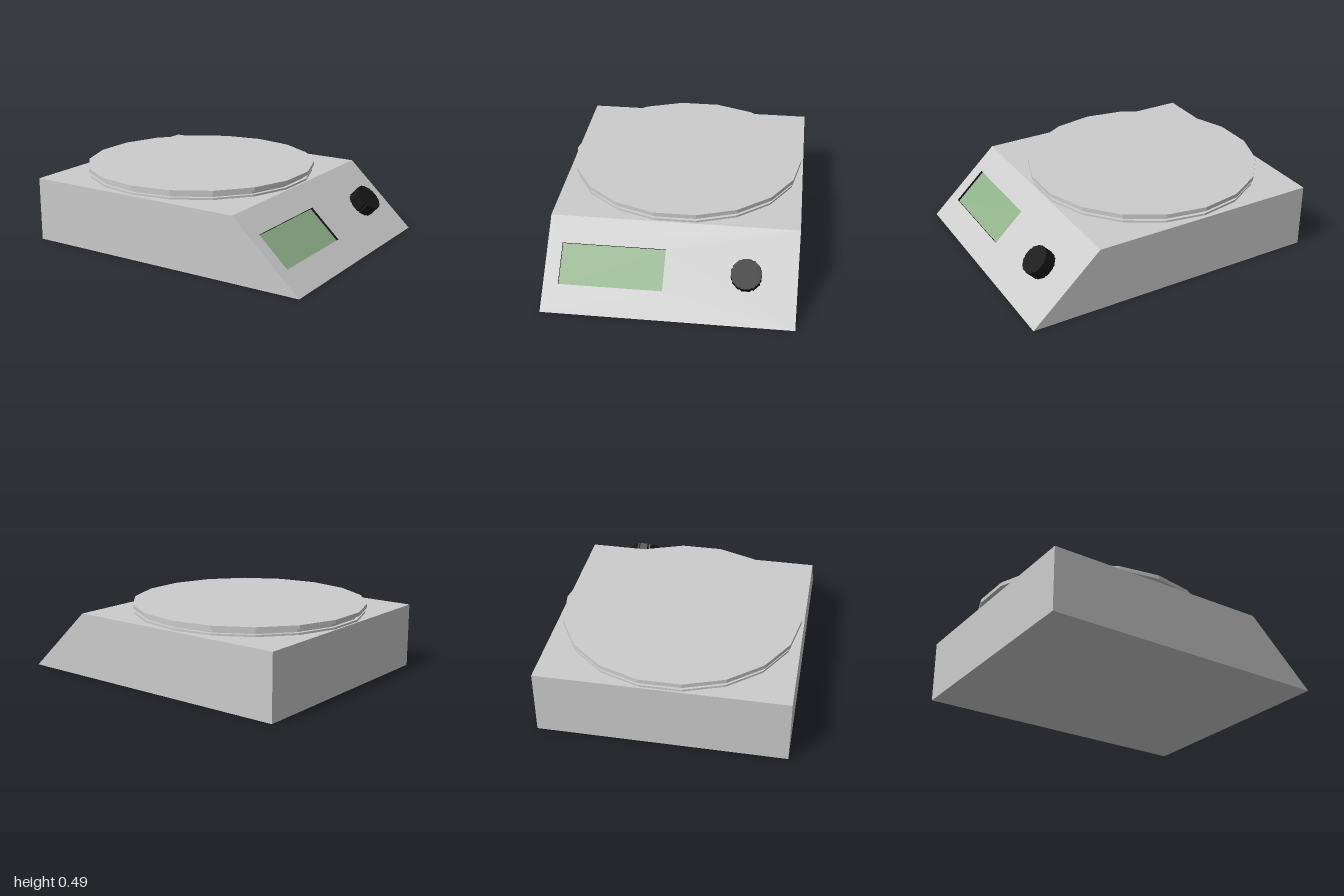
import * as THREE from 'three';

const TOP = 0.428, EDGE = 0.54, HALF = 0.795; // body height, slope start, half depth
const SLOPE = Math.hypot(1 - EDGE, TOP);

const mat = (color) => new THREE.MeshStandardMaterial({ color, flatShading: true });
const grey = mat(0xcccccc), black = mat(0x161616), green = mat(0x8eb088);

function add(parent, name, geometry, material, pos = [0, 0, 0], rot = [0, 0, 0]) {
  const mesh = new THREE.Mesh(geometry, material);
  mesh.name = name;
  mesh.position.set(...pos);
  mesh.rotation.set(...rot);
  parent.add(mesh);
  return mesh;
}

function polygon(points, Type = THREE.Shape) {
  return new Type(points.map(([x, y]) => new THREE.Vector2(x, y)));
}

function rectangle(x0, y0, x1, y1, Type) {
  return polygon([[x0, y0], [x1, y0], [x1, y1], [x0, y1]], Type);
}

// Wedge-shaped housing, without its sloped face
function createBody() {
  const body = new THREE.Group();
  body.name = 'body';
  const side = new THREE.ShapeGeometry(polygon([[-1, 0], [1, 0], [EDGE, TOP], [-1, TOP]]));
  const mirrored = new THREE.ShapeGeometry(polygon([[1, 0], [-1, 0], [-EDGE, TOP], [1, TOP]]));
  const q = Math.PI / 2;
  add(body, 'frontSide', side, grey, [0, 0, HALF]);
  add(body, 'backSide', mirrored, grey, [0, 0, -HALF], [0, Math.PI, 0]);
  add(body, 'topSide', new THREE.PlaneGeometry(1 + EDGE, 2 * HALF), grey, [(EDGE - 1) / 2, TOP, 0], [-q, 0, 0]);
  add(body, 'underside', new THREE.PlaneGeometry(2, 2 * HALF), grey, [0, 0, 0], [q, 0, 0]);
  add(body, 'endWall', new THREE.PlaneGeometry(2 * HALF, TOP), grey, [-1, TOP / 2, 0], [0, -q, 0]);
  return body;
}

// Sloped panel: local x runs across, y up the slope, z outward
function createControlPanel() {
  const panel = new THREE.Group();
  panel.name = 'controlPanel';
  const up = new THREE.Vector3(EDGE - 1, TOP, 0).normalize();
  const across = new THREE.Vector3(0, 0, -1);
  const out = across.clone().cross(up);
  panel.quaternion.setFromRotationMatrix(new THREE.Matrix4().makeBasis(across, up, out));
  panel.position.set((1 + EDGE) / 2, TOP / 2, 0);

  // Face with the display opening
  const x0 = -0.7, x1 = -0.04, y0 = -0.13, y1 = 0.136, depth = 0.015;
  const face = rectangle(-HALF, -SLOPE / 2, HALF, SLOPE / 2);
  face.holes.push(rectangle(x0, y0, x1, y1, THREE.Path));
  add(panel, 'panelFace', new THREE.ShapeGeometry(face), grey);

  // Recessed screen with four dark walls facing inward
  const cx = (x0 + x1) / 2, cy = (y0 + y1) / 2, w = x1 - x0, h = y1 - y0, q = Math.PI / 2;
  add(panel, 'screen', new THREE.PlaneGeometry(w, h), green, [cx, cy, -depth]);
  for (const s of [-1, 1]) {
    add(panel, 'screenWall', new THREE.PlaneGeometry(w, depth), black, [cx, cy + s * h / 2, -depth / 2], [s * q, 0, 0]);
    add(panel, 'screenWall', new THREE.PlaneGeometry(depth, h), black, [cx + s * w / 2, cy, -depth / 2], [0, -s * q, 0]);
  }

  // Fluted knob: eight flats with a shallow notch between them
  const outline = [];
  for (let i = 0; i < 8; i++) {
    for (const [offset, r] of [[-16, 0.098], [16, 0.098], [22.5, 0.091]]) {
      const a = THREE.MathUtils.degToRad(i * 45 + offset);
      outline.push([r * Math.cos(a), r * Math.sin(a)]);
    }
  }
  const knob = new THREE.ExtrudeGeometry(polygon(outline), { depth: 0.085, bevelEnabled: false });
  add(panel, 'knob', knob, black, [0.477, 0, 0]);
  return panel;
}

// Weighing plate: foot, recessed neck and top disc
function createPlatter() {
  const platter = new THREE.Group();
  platter.name = 'platter';
  platter.position.set(-0.23, 0, 0);
  const layers = [['plateFoot', 0.769, TOP, 0.441], ['plateNeck', 0.746, 0.441, 0.465], ['plateTop', 0.78, 0.465, 0.491]];
  for (const [name, r, bottom, top] of layers) {
    add(platter, name, new THREE.CylinderGeometry(r, r, top - bottom, 18), grey, [0, (bottom + top) / 2, 0]);
  }
  return platter;
}

export function createModel() {
  const model = new THREE.Group();
  model.name = 'kitchenScale';
  model.add(createBody(), createControlPanel(), createPlatter());
  return model;
}
